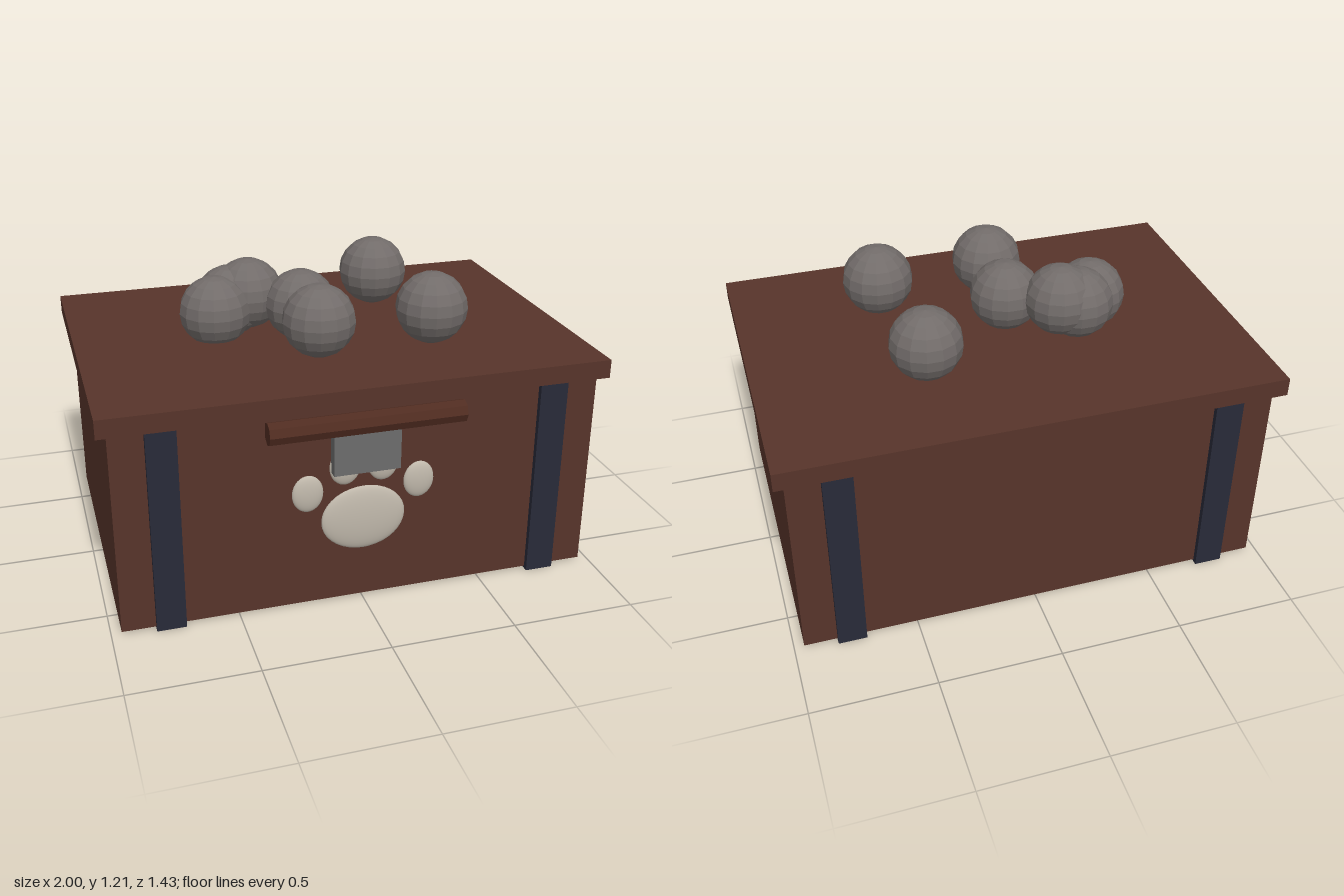
import * as THREE from 'three';

const mat = (name, color, flatShading = false) => {
  const m = new THREE.MeshStandardMaterial({ color, flatShading });
  m.name = name;
  return m;
};

export function createModel() {
  const wood = mat('dark wood', 0x57342a);
  const handleWood = mat('handle wood', 0x502c21, true);
  const iron = mat('dark iron', 0x282a38);
  const steel = mat('latch steel', 0x6c6c6c);
  const stone = mat('grey stone', 0x726c6a, true);
  const cream = mat('cream', 0xc0b8ab);

  const chest = new THREE.Group();
  chest.name = 'chest';

  const add = (name, geometry, material, x, y, z) => {
    const mesh = new THREE.Mesh(geometry, material);
    mesh.name = name;
    mesh.position.set(x, y, z);
    chest.add(mesh);
    return mesh;
  };
  const box = (name, w, h, d, material, x, y, z) =>
    add(name, new THREE.BoxGeometry(w, h, d), material, x, y, z);

  // Chest body and overhanging lid
  box('body', 1.92, 0.83, 1.31, wood, 0, 0.425, -0.02);
  box('lid', 2, 0.075, 1.38, wood, 0, 0.8775, -0.025);

  // Bands wrapped around front, bottom and back
  for (const side of [-1, 1]) {
    box(side > 0 ? 'leftBand' : 'rightBand', 0.115, 0.84, 1.352, iron, side * 0.77, 0.42, -0.02);
  }

  // Octagonal handle bar and the latch plate below it
  const bar = new THREE.CylinderGeometry(0.045, 0.045, 0.77, 8);
  bar.rotateZ(Math.PI / 2);
  add('handle', bar, handleWood, 0, 0.782, 0.67);
  box('latch', 0.265, 0.2, 0.05, steel, 0, 0.676, 0.656);

  // Paw emblem: flattened domes on the front panel
  const pad = (name, x, y, rx, ry, rz) =>
    add(name, new THREE.SphereGeometry(1, 28, 18), cream, x, y, 0.635).scale.set(rx, ry, rz);
  pad('pawPad', 0, 0.36, 0.17, 0.137, 0.027);
  for (const side of [-1, 1]) {
    pad('outerToe', side * 0.224, 0.494, 0.062, 0.077, 0.021);
    pad('innerToe', side * 0.076, 0.59, 0.062, 0.077, 0.021);
  }

  // Faceted balls resting on the lid
  const ballGeometry = new THREE.SphereGeometry(0.146, 14, 10);
  const balls = [
    [-0.425, 1.02, -0.035],
    [-0.345, 1.035, -0.115],
    [-0.27, 1.06, -0.112],
    [-0.08, 1.06, 0.295],
    [-0.08, 1.037, 0.025],
    [0.33, 1.058, -0.272],
    [0.4, 1.058, 0.265],
  ];
  balls.forEach(([x, y, z], i) => add(`ball${i + 1}`, ballGeometry, stone, x, y, z));

  return chest;
}
